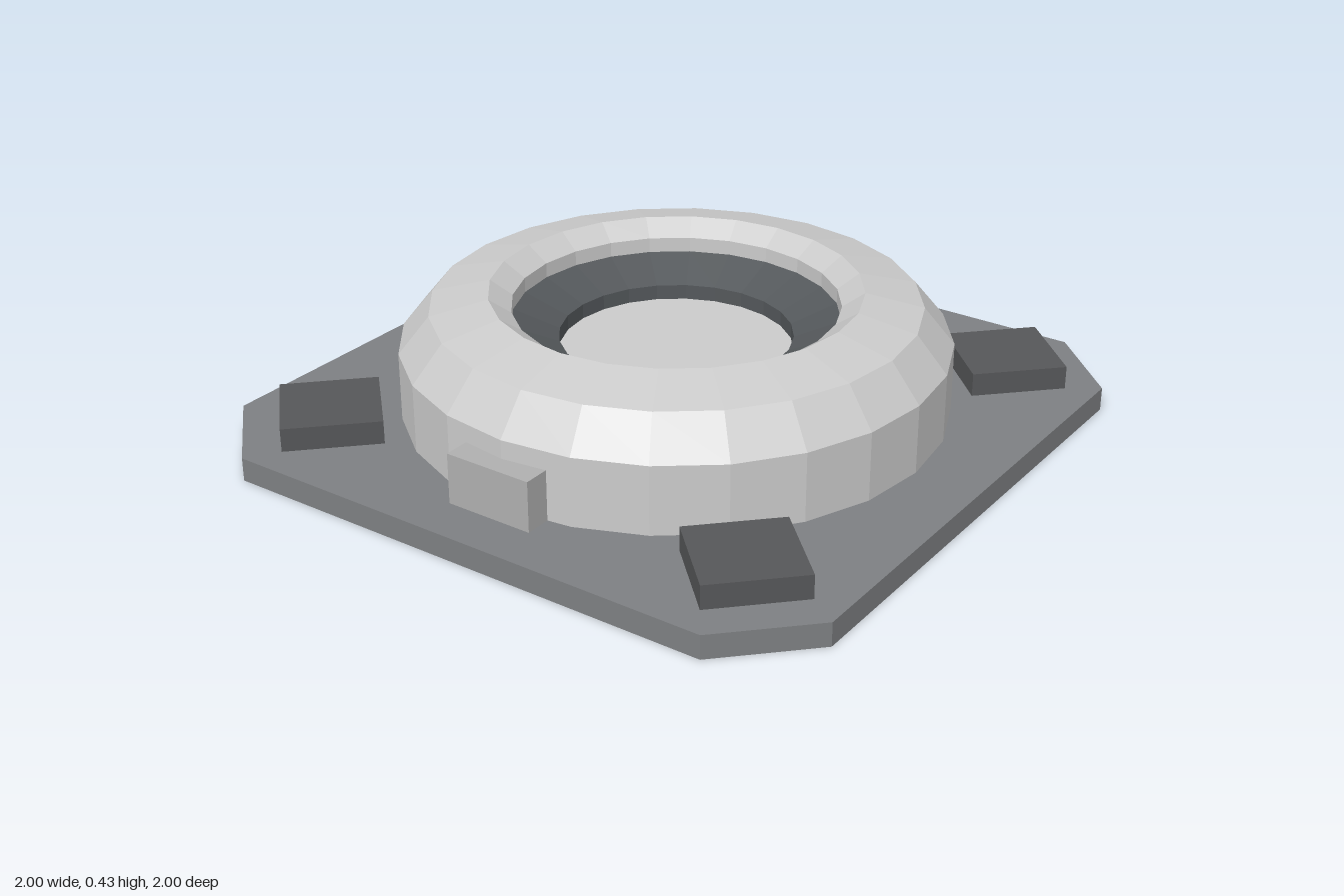
import * as THREE from 'three';

const SIDES = 24;

function material(color, side = THREE.FrontSide) {
  return new THREE.MeshStandardMaterial({ color, flatShading: true, side });
}

// Faceted ring turned from [radius, height] pairs
function turned(name, points, mat) {
  const profile = points.map(([r, y]) => new THREE.Vector2(r, y));
  const mesh = new THREE.Mesh(new THREE.LatheGeometry(profile, SIDES), mat);
  mesh.name = name;
  return mesh;
}

function box(name, size, position, mat) {
  const mesh = new THREE.Mesh(new THREE.BoxGeometry(...size), mat);
  mesh.position.set(...position);
  mesh.name = name;
  return mesh;
}

export function createModel() {
  const model = new THREE.Group();
  model.name = 'floorPad';

  const light = material(0xcccccc);
  const lightShell = material(0xcccccc, THREE.DoubleSide);
  const plateGrey = material(0x7e8083);
  const padGrey = material(0x565759);
  const wellGrey = material(0x54585b, THREE.DoubleSide);
  const tabGrey = material(0xb0b0b0);

  // Square base plate with cut corners
  const c = 0.77;
  const outline = new THREE.Shape(
    [[1, -c], [1, c], [c, 1], [-c, 1], [-1, c], [-1, -c], [-c, -1], [c, -1]]
      .map(([x, y]) => new THREE.Vector2(x, y)));
  const plateGeometry = new THREE.ExtrudeGeometry(outline, { depth: 0.07, bevelEnabled: false });
  plateGeometry.rotateX(-Math.PI / 2);
  const plate = new THREE.Mesh(plateGeometry, plateGrey);
  plate.name = 'basePlate';
  model.add(plate);

  // Domed collar: outer wall, two slopes, inner lip
  model.add(turned('collar', [
    [0.8, 0.07], [0.8, 0.275], [0.71, 0.385], [0.54, 0.425], [0.475, 0.38], [0.475, 0.33],
  ], lightShell));

  // Dark funnel inside the collar
  model.add(turned('funnel', [[0.475, 0.335], [0.34, 0.28], [0.34, 0.07]], wellGrey));

  // Round floor of the well
  const floor = new THREE.Mesh(new THREE.CylinderGeometry(0.34, 0.34, 0.165, SIDES), light);
  floor.position.y = 0.1525;
  floor.name = 'wellFloor';
  model.add(floor);

  // Diamond pads at the four corners
  for (const x of [-1, 1]) {
    for (const z of [-1, 1]) {
      const pad = box('cornerPad', [0.286, 0.07, 0.286], [x * 0.707, 0.105, z * 0.707], padGrey);
      pad.rotation.y = Math.PI / 4;
      model.add(pad);
    }
  }

  // Tabs on the front and back of the collar
  for (const z of [-1, 1]) {
    model.add(box(z > 0 ? 'frontTab' : 'backTab', [0.27, 0.15, 0.14], [0, 0.145, z * 0.79], tabGrey));
  }

  return model;
}
